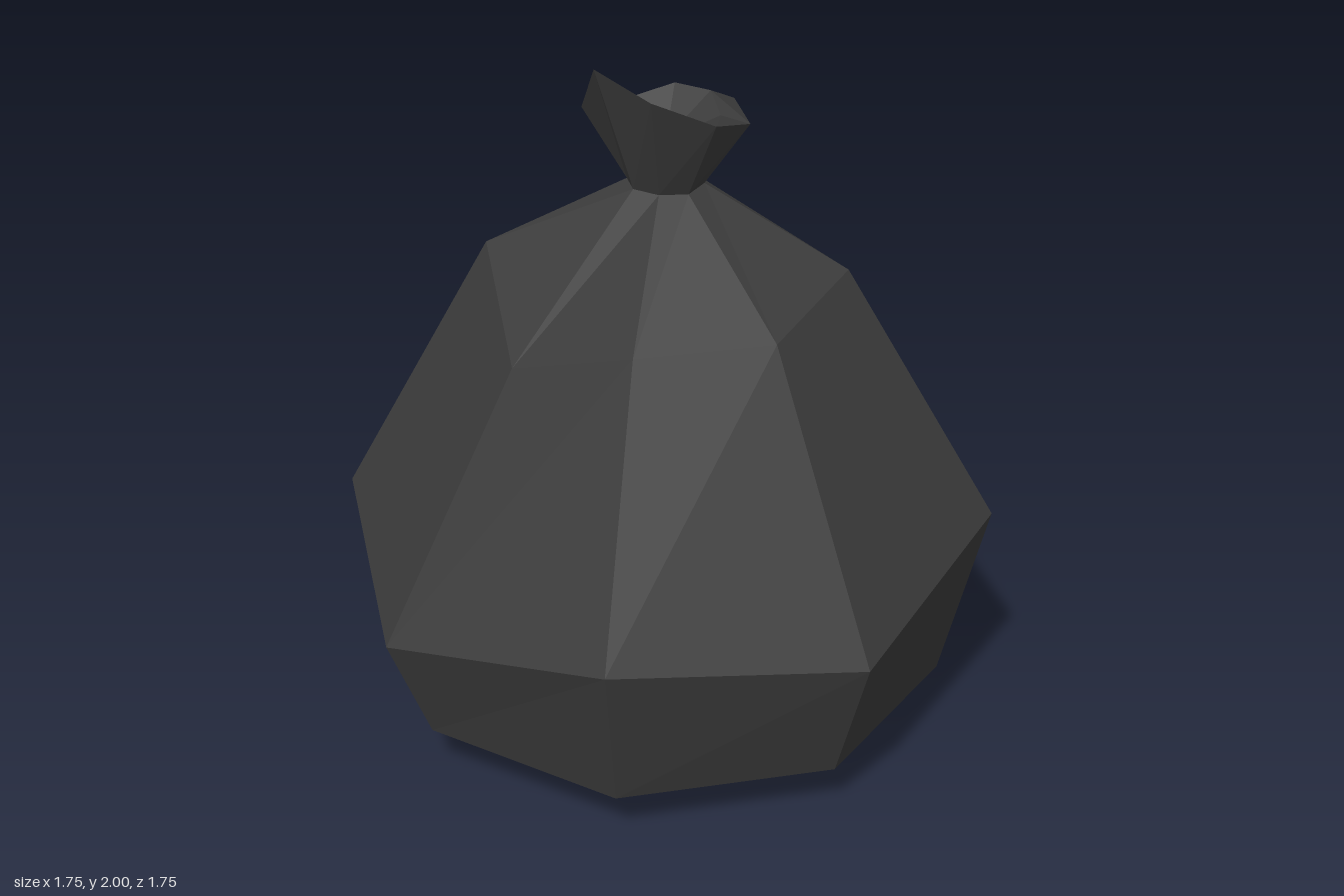
import * as THREE from 'three';

const SIDES = 8;

// One octagonal ring; apothem is its half width, heights run from +x towards +z
function ring(apothem, heights) {
  const r = apothem / Math.cos(Math.PI / SIDES);
  return Array.from({ length: SIDES }, (_, k) => {
    const a = ((k + 0.5) / SIDES) * Math.PI * 2;
    const y = Array.isArray(heights) ? heights[k] : heights;
    return [r * Math.cos(a), y, r * Math.sin(a)];
  });
}

// Skin a list of rings; rings of zero width close the ends
function skin(rings) {
  const pos = [];
  const same = (p, q) => p.every((v, i) => Math.abs(v - q[i]) < 1e-6);
  const tri = (a, b, c) => {
    if (!same(a, b) && !same(b, c) && !same(c, a)) pos.push(...a, ...b, ...c);
  };
  for (let i = 0; i + 1 < rings.length; i++) {
    for (let k = 0; k < SIDES; k++) {
      const n = (k + 1) % SIDES;
      const [a, b] = [rings[i][n], rings[i][k]];
      const [c, d] = [rings[i + 1][k], rings[i + 1][n]];
      tri(a, b, c);
      tri(a, c, d);
    }
  }
  const g = new THREE.BufferGeometry();
  g.setAttribute('position', new THREE.Float32BufferAttribute(pos, 3));
  g.computeVertexNormals();
  return g;
}

export function createModel() {
  const plastic = new THREE.MeshStandardMaterial({ color: 0x3b3b3b, flatShading: true });
  plastic.name = 'darkPlastic';
  const group = new THREE.Group();
  group.name = 'tiedSack';

  const neck = ring(0.1, [1.63, 1.625, 1.63, 1.63, 1.63, 1.62, 1.61, 1.62]);

  // Bulging sack: shallow pointed base, sagging belly, shoulders, neck
  const sack = new THREE.Mesh(skin([
    ring(0, 0),
    ring(0.75, 0.14),
    ring(0.873, [0.67, 0.53, 0.61, 0.465, 0.61, 0.62, 0.74, 0.61]),
    ring(0.473, [1.4, 1.33, 1.33, 1.2, 1.41, 1.27, 1.33, 1.27]),
    neck,
  ]), plastic);
  sack.name = 'sackBody';

  // Gathered top: flares out of the neck, folds over and sinks to the middle
  const top = new THREE.Mesh(skin([
    neck,
    ring(0.215, [1.81, 1.86, 1.94, 2.0, 1.83, 1.77, 1.8, 1.82]),
    ring(0.14, [1.83, 1.82, 1.87, 1.91, 1.84, 1.83, 1.86, 1.86]),
    ring(0, 1.75),
  ]), plastic);
  top.name = 'gatheredTop';

  group.add(sack, top);
  return group;
}
